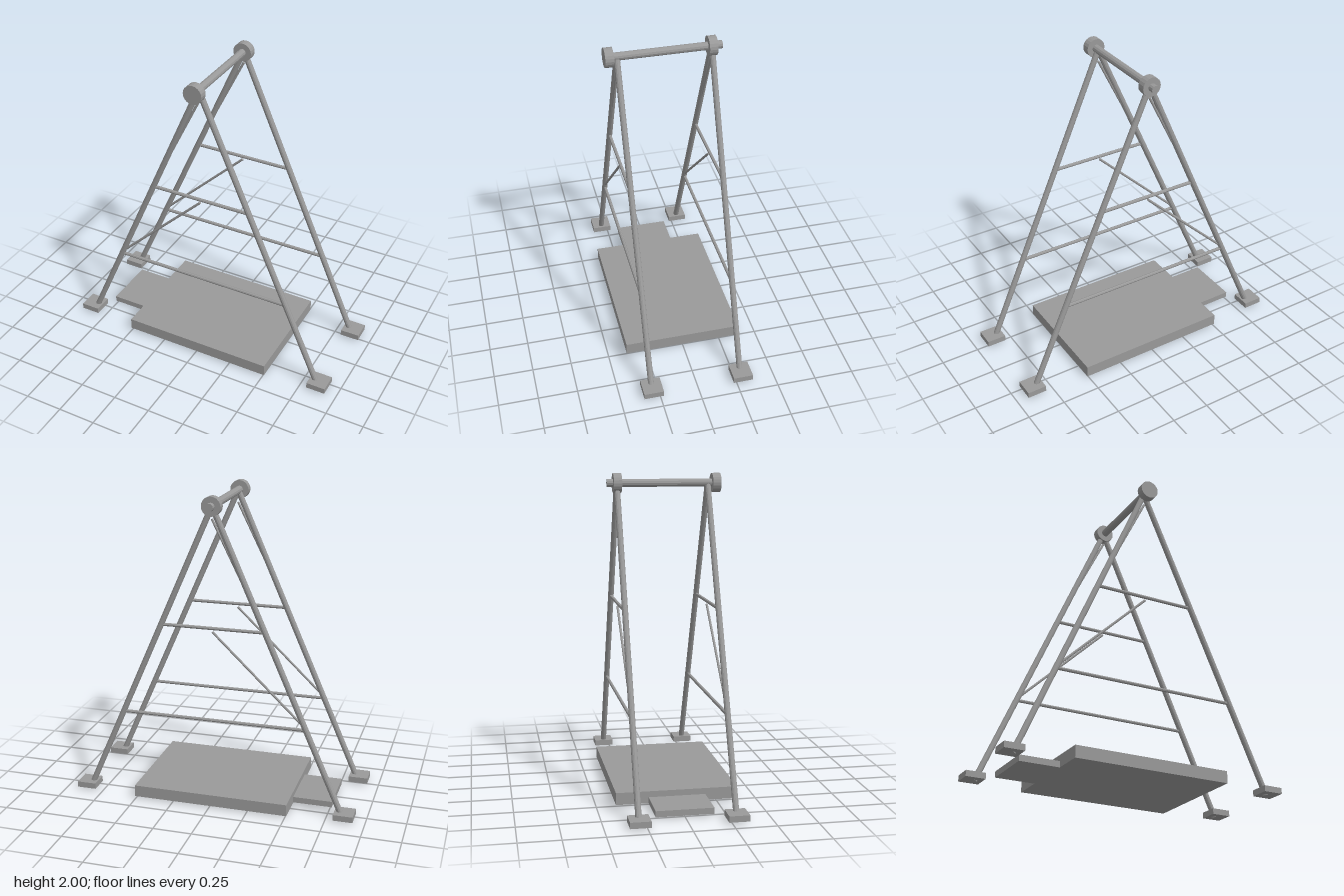
import * as THREE from 'three';

export function createModel() {
  const group = new THREE.Group();
  group.name = 'aFrameSwingStand';
  const grey = new THREE.MeshStandardMaterial({ color: 0x999999, flatShading: true });
  grey.name = 'steel grey';

  const add = (name, geometry, x, y, z, parent = group) => {
    const mesh = new THREE.Mesh(geometry, grey);
    mesh.name = name;
    mesh.position.set(x, y, z);
    parent.add(mesh);
    return mesh;
  };

  // Round bar between two points
  const bar = (name, a, b, radius, sides, parent) => {
    const from = new THREE.Vector3(...a), to = new THREE.Vector3(...b);
    const dir = to.clone().sub(from);
    const mid = from.clone().add(to).multiplyScalar(0.5);
    const mesh = add(name, new THREE.CylinderGeometry(radius, radius, dir.length(), sides), mid.x, mid.y, mid.z, parent);
    mesh.quaternion.setFromUnitVectors(new THREE.Vector3(0, 1, 0), dir.normalize());
    return mesh;
  };

  const apexY = 1.942, footX = 0.85, footY = 0.008;
  const legX = (y) => footX * (apexY - y) / (apexY - footY);

  // Two A-shaped side frames
  for (const side of [1, -1]) {
    const frame = new THREE.Group();
    frame.name = side > 0 ? 'frontFrame' : 'backFrame';
    frame.position.z = side * 0.292;
    group.add(frame);

    for (const s of [-1, 1]) {
      const which = s > 0 ? 'left' : 'right';
      bar(which + 'Leg', [s * footX, footY, 0], [0, apexY, 0], 0.019, 12, frame);
      add(which + 'Foot', new THREE.BoxGeometry(0.126, 0.038, 0.126), s * 0.863, 0.029, 0, frame);
    }

    // Cross rungs, each with a diagonal brace rising to the centre line
    for (const [y, braceTop] of [[0.57, 1.158], [1.18, 1.865]]) {
      const x = legX(y);
      bar('rung', [-x, y, 0], [x, y, 0], 0.011, 8, frame);
      bar('brace', [-x, y + 0.01, 0], [0, braceTop, 0], 0.008, 8, frame);
    }
  }

  // Top axle with a hub at each end
  bar('axle', [0, apexY, -0.355], [0, apexY, 0.33], 0.025, 12);
  bar('frontHub', [0, apexY, 0.317], [0, apexY, 0.37], 0.061, 20);
  bar('backHub', [0, apexY, -0.317], [0, apexY, -0.265], 0.061, 20);

  // Ground platform and its low step
  add('platform', new THREE.BoxGeometry(1.016, 0.076, 0.76), 0, 0.048, 0);
  add('step', new THREE.BoxGeometry(0.254, 0.038, 0.356), -0.635, 0.029, 0);

  return group;
}
